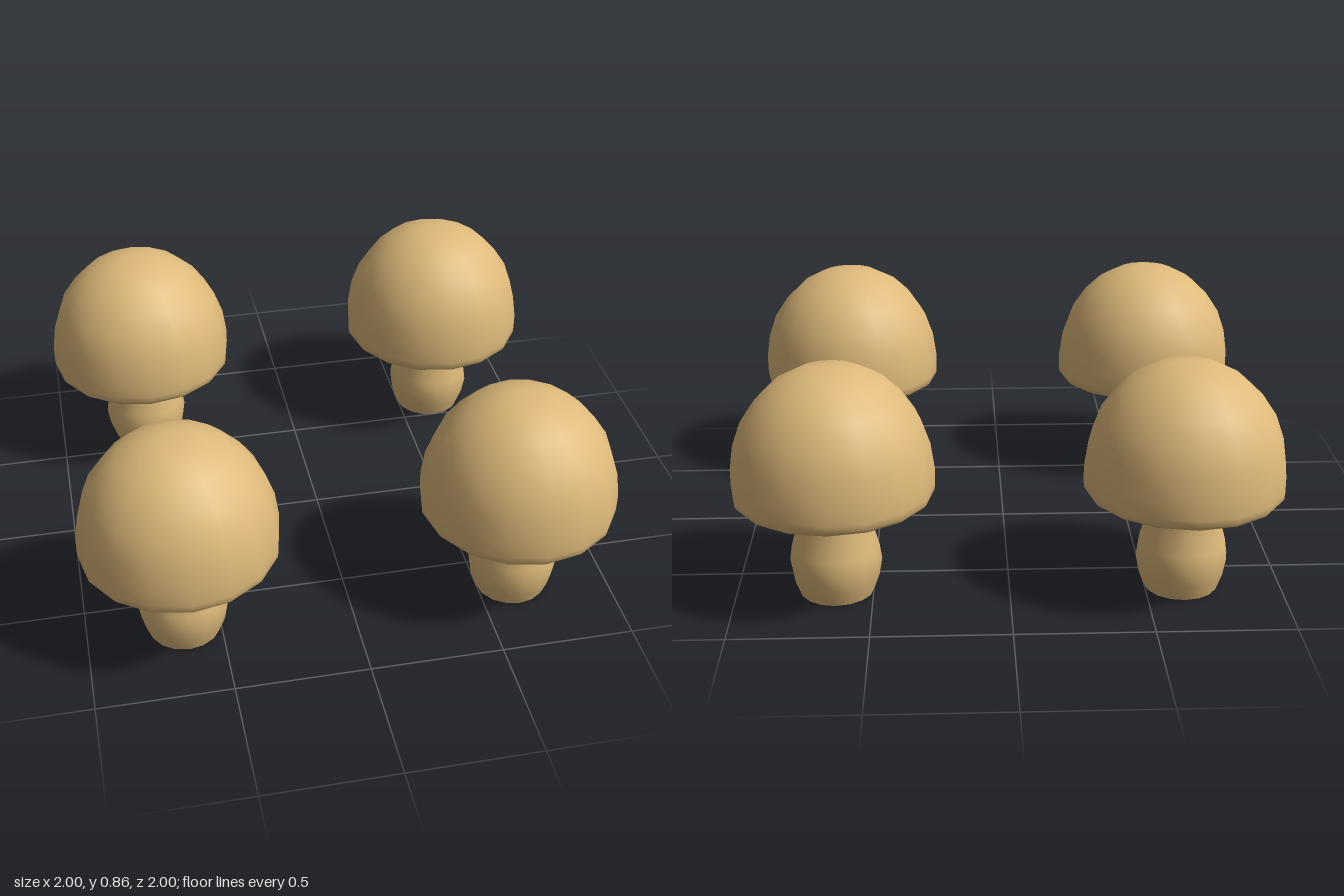
import * as THREE from 'three';

const SIDES = 16;
const SPACING = 0.634;

// Profiles as [radius, height], from the bottom up
const STEM = [
  [0.135, 0], [0.157, 0.06], [0.168, 0.125], [0.16, 0.18],
  [0.141, 0.25], [0.134, 0.32], [0.131, 0.39], [0.131, 0.47],
];
const CAP = [
  // hollow underside, from the stem out to the rim
  [0.12, 0.45], [0.2, 0.435], [0.28, 0.405], [0.325, 0.383], [0.352, 0.381],
  // rolled rim
  [0.364, 0.396], [0.366, 0.42],
  // dome
  [0.366, 0.48], [0.352, 0.575], [0.32, 0.665], [0.266, 0.745],
  [0.2, 0.808], [0.115, 0.853], [0.05, 0.862], [0, 0.864],
];

function lathe(profile) {
  return new THREE.LatheGeometry(profile.map(([r, y]) => new THREE.Vector2(r, y)), SIDES);
}

export function createModel() {
  const tan = new THREE.MeshStandardMaterial({ color: 0xdeb97a, side: THREE.DoubleSide });
  tan.name = 'mushroom tan';

  const stemGeometry = lathe(STEM);
  const capGeometry = lathe(CAP);

  const model = new THREE.Group();
  model.name = 'mushrooms';

  // One mushroom in each corner of a square
  for (const sx of [-1, 1]) {
    for (const sz of [-1, 1]) {
      const mushroom = new THREE.Group();
      mushroom.name = `${sz > 0 ? 'front' : 'back'}${sx > 0 ? 'Left' : 'Right'}Mushroom`;

      // Open-ended bulging stem
      const stem = new THREE.Mesh(stemGeometry, tan);
      stem.name = 'stem';

      // Domed cap
      const cap = new THREE.Mesh(capGeometry, tan);
      cap.name = 'cap';

      mushroom.add(stem, cap);
      mushroom.position.set(sx * SPACING, 0, sz * SPACING);
      model.add(mushroom);
    }
  }
  return model;
}
